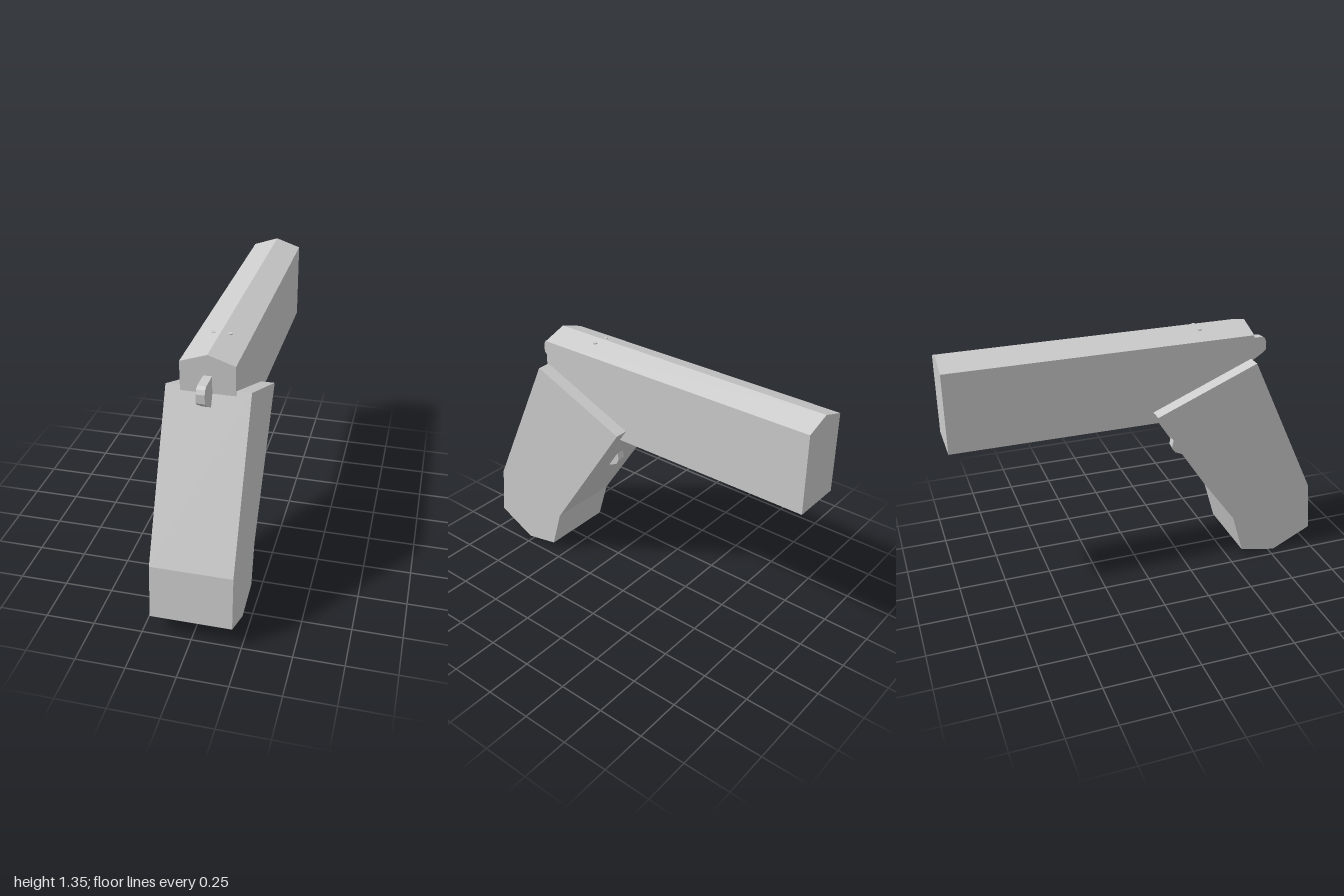
import * as THREE from 'three';

const grey = new THREE.MeshStandardMaterial({ color: 0xcccccc, flatShading: true });

function add(group, name, geometry) {
  const mesh = new THREE.Mesh(geometry, grey);
  mesh.name = name;
  group.add(mesh);
  return mesh;
}

function prism(points, depth) {
  const shape = new THREE.Shape(points.map(([a, b]) => new THREE.Vector2(a, b)));
  return new THREE.ExtrudeGeometry(shape, { depth, bevelEnabled: false });
}

// Side outline given as [z, y], extruded symmetrically across x
function sidePrism(points, width) {
  return prism(points, width).translate(0, 0, -width / 2).rotateY(-Math.PI / 2);
}

export function createModel() {
  const model = new THREE.Group();
  model.name = 'pistol';

  // Slide with a shallow roof-shaped top
  add(model, 'slide', prism([
    [-0.133, 0.885], [0.133, 0.885], [0.133, 1.305], [0, 1.35], [-0.133, 1.305],
  ], 1.61).translate(0, 0, -1));

  // Wide slanted grip
  add(model, 'grip', sidePrism([
    [0.6, 1.177], [0.97, 0.39], [1, 0.11], [0.78, 0],
    [0.58, 0.04], [0.515, 0.26], [0.06, 0.95],
  ], 0.41));

  // Hammer behind the slide
  add(model, 'hammer', sidePrism([
    [0.58, 1.245], [0.71, 1.245], [0.73, 1.235], [0.74, 1.215],
    [0.74, 1.17], [0.725, 1.155], [0.64, 1.1], [0.58, 1.1],
  ], 0.042));

  // Trigger stub protruding from the grip
  add(model, 'trigger', sidePrism([
    [0.3, 0.63], [0.28, 0.613], [0.23, 0.635], [0.212, 0.67], [0.22, 0.71], [0.26, 0.7],
  ], 0.045));

  // Small lanyard fitting under the grip
  const fitting = new THREE.Group();
  fitting.name = 'lanyardFitting';
  fitting.position.set(0, 0.07, 0.92);
  fitting.rotation.x = -Math.atan2(0.11, 0.22);
  model.add(fitting);
  add(fitting, 'fittingBar', new THREE.CylinderGeometry(0.013, 0.013, 0.06, 8).rotateZ(Math.PI / 2))
    .position.z = 0.04;
  for (const side of [-1, 1]) {
    add(fitting, 'fittingTip', new THREE.ConeGeometry(0.013, 0.04, 8).rotateZ(-side * Math.PI / 2))
      .position.set(side * 0.05, 0, 0.04);
  }
  add(fitting, 'fittingPlate', new THREE.BoxGeometry(0.1, 0.014, 0.04)).position.z = -0.035;

  // Pair of tiny sight pins on the roof
  for (const side of [-1, 1]) {
    add(model, 'sightPin', new THREE.CylinderGeometry(0.012, 0.012, 0.02, 8))
      .position.set(side * 0.04, 1.33, 0.34);
  }
  return model;
}
